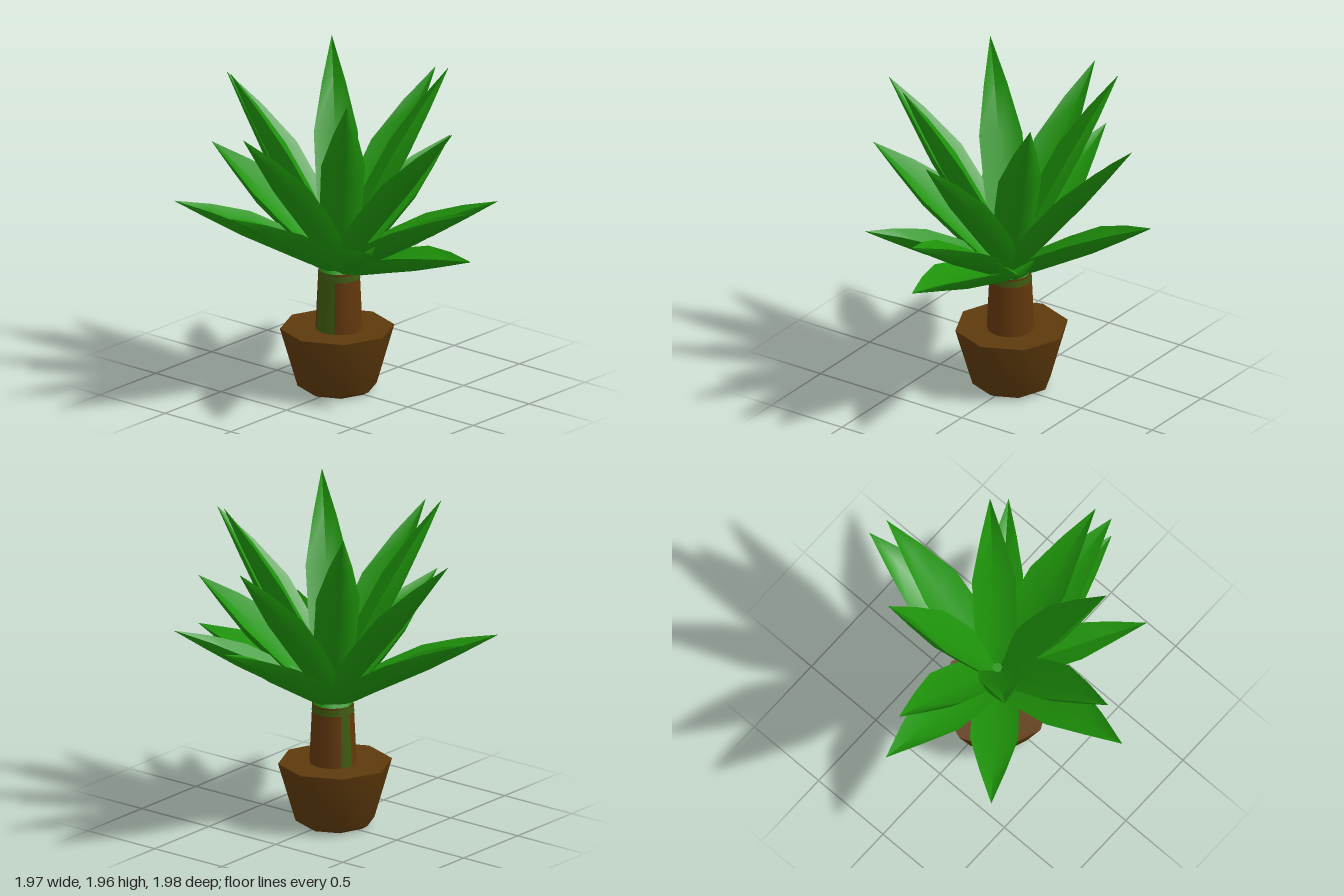
import * as THREE from 'three';
import { toCreasedNormals } from 'three/addons/utils/BufferGeometryUtils.js';

const mat = (name, color) => new THREE.MeshStandardMaterial({ name, color });

// Leaf along +z: a cupped six-sided section swept from the crown to a point.
function leafGeometry(base, tip, width, sag) {
  const start = new THREE.Vector3(0, base[1], base[0]);
  const end = new THREE.Vector3(0, tip[1], tip[0]);
  const mid = start.clone().lerp(end, 0.5);
  mid.y += sag;
  const curve = new THREE.QuadraticBezierCurve3(start, mid, end);
  // position along the leaf, relative width, relative thickness
  const stations = [[0, 0.58, 0.5], [0.13, 0.86, 0.9], [0.33, 0.98, 1], [0.55, 1, 1], [0.78, 0.54, 0.6], [1, 0.005, 0.02]];
  // right edge, top groove, left edge, then round the underside
  const section = [[1, 0.062], [0, 0.005], [-1, 0.062], [-0.6, -0.02], [0, -0.05], [0.6, -0.02]];
  const n = section.length, pos = [], idx = [];
  stations.forEach(([t, w, h], i) => {
    const p = curve.getPoint(t), d = curve.getTangent(t);
    section.forEach(([sx, sn], j) => {
      pos.push(sx * w * width, p.y + sn * h * d.z, p.z - sn * h * d.y);
      if (i + 1 < stations.length) {
        const a = i * n + j, b = i * n + (j + 1) % n;
        idx.push(a, b, b + n, a, b + n, a + n);
      }
    });
  });
  for (let j = 1; j < n - 1; j++) idx.push(0, j + 1, j); // base cap
  const g = new THREE.BufferGeometry();
  g.setAttribute('position', new THREE.Float32BufferAttribute(pos, 3));
  g.setIndex(idx);
  return toCreasedNormals(g, 0.9);
}

export function createModel() {
  const leafGreen = mat('leaf green', 0x1e930a);
  const potBrown = mat('pot brown', 0x5e3a0c);
  const trunkBrown = mat('trunk brown', 0x61370c);
  const mossGreen = mat('moss green', 0x3f5a10);

  const model = new THREE.Group();
  model.name = 'pottedPlant';
  const add = (name, geometry, material, x = -0.012, y = 0, z = -0.015, parent = model) => {
    const m = new THREE.Mesh(geometry, material);
    m.name = name;
    m.position.set(x, y, z);
    parent.add(m);
    return m;
  };

  // Eight-sided pot filled with soil up to the rim
  const profile = [[0, 0], [0.19, 0], [0.232, 0.025], [0.335, 0.38], [0.3, 0.378], [0, 0.374]]
    .map(([x, y]) => new THREE.Vector2(x, y));
  const pot = add('pot', toCreasedNormals(new THREE.LatheGeometry(profile, 8), 0.8), potBrown, -0.014, 0, -0.028);
  pot.rotation.y = 0.04;

  // Trunk with mossy strips on the back and right-hand side
  const trunkGeo = new THREE.CylinderGeometry(0.122, 0.14, 0.38, 12, 1, true);
  trunkGeo.clearGroups();
  for (let i = 0; i < 12; i++) trunkGeo.addGroup(i * 6, 6, [5, 8, 9].includes(i) ? 1 : 0);
  add('trunk', trunkGeo, [trunkBrown, mossGreen], -0.012, 0.55);

  // Crown joining trunk and leaves
  add('crownRing', new THREE.CylinderGeometry(0.122, 0.126, 0.045, 12), mossGreen, -0.012, 0.712);
  add('crownCore', new THREE.CylinderGeometry(0.05, 0.118, 0.1, 8), leafGreen, -0.012, 0.775);

  const leaves = new THREE.Group();
  leaves.name = 'leaves';
  model.add(leaves);
  const addLeaf = (name, x, z, y, base, width, sag) => {
    const geo = leafGeometry(base, [Math.hypot(x, z), y], width, sag);
    add(name, geo, leafGreen, -0.012, 0, -0.012, leaves).rotation.y = Math.atan2(x, z);
  };

  // Axis leaves in two tiers, upright leaves on the diagonals
  for (const [x, z, reach] of [[0, 1, 1], [1, 0, 0.995], [0, -1, 0.975], [-1, 0, 0.97]]) {
    addLeaf('lowerLeaf', x * reach, z * reach, 1.3, [0.02, 0.74], 0.157, 0.03);
    addLeaf('middleLeaf', x * 0.86, z * 0.86, 1.755, [0.03, 0.785], 0.134, 0.055);
  }
  for (const [x, z] of [[1, 1], [1, -1], [-1, -1], [-1, 1]])
    addLeaf('upperLeaf', x * 0.452, z * 0.445, 1.955, [0.02, 0.8], 0.128, 0.03);

  // Spreading diagonal leaves and one drooping front leaf
  addLeaf('spreadingLeaf', 0.56, 0.73, 1.17, [0.04, 0.75], 0.115, 0.03);
  addLeaf('spreadingLeaf', -0.54, 0.7, 1.13, [0.04, 0.75], 0.115, 0.03);
  addLeaf('spreadingLeaf', -0.61, -0.74, 1.15, [0.04, 0.75], 0.14, 0.03);
  addLeaf('droopingLeaf', 0, 1, 1.005, [0.03, 0.735], 0.157, 0.04);

  return model;
}
